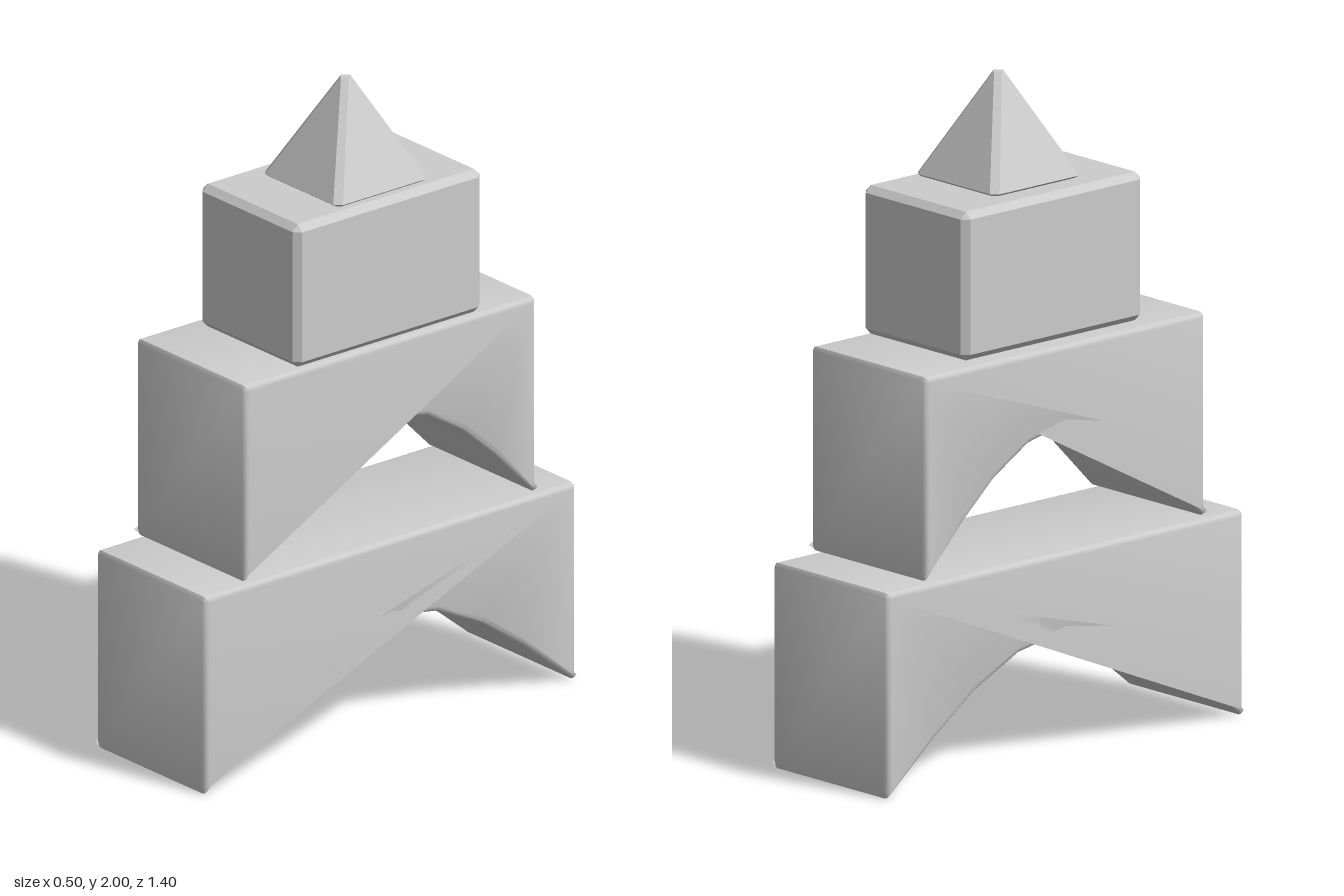
import * as THREE from 'three';
import { toCreasedNormals } from 'three/addons/utils/BufferGeometryUtils.js';
import { ConvexGeometry } from 'three/addons/geometries/ConvexGeometry.js';

const grey = new THREE.MeshStandardMaterial({ color: 0xcccccc });

// Arched block: rounded slab with a curved underside, spanning z
function archBlock(name, halfSpan, y0, height, rise) {
  // Right half of the underside, as fractions of span and rise
  const curve = [[0.985, 0.005], [0.72, 0.41], [0.5, 0.7], [0.255, 0.92]];
  const h = halfSpan, r = 0.012, bevel = 0.018, width = 0.495;
  const right = [[h - 0.008, height], [h, height - r], [h, 0.02], [h - 0.006, 0],
    ...curve.map(([u, v]) => [u * h, v * rise])];
  const left = right.map(([z, y]) => [-z, y]).reverse();
  const outline = [...right, [0, rise], ...left].map(([z, y]) => new THREE.Vector2(z, y));
  const geo = new THREE.ExtrudeGeometry(new THREE.Shape(outline), {
    depth: width - 2 * bevel, bevelEnabled: true, bevelThickness: bevel,
    bevelSize: bevel, bevelOffset: -bevel, bevelSegments: 3,
  });
  geo.translate(0, y0, -(width - 2 * bevel) / 2).rotateY(-Math.PI / 2);
  const mesh = new THREE.Mesh(toCreasedNormals(geo, 0.65), grey);
  mesh.name = name;
  return mesh;
}

// Rectangle ring with cut corners at height y
function ring(hx, hz, cut, y) {
  const pts = [];
  for (const sx of [-1, 1]) for (const sz of [-1, 1]) {
    pts.push(new THREE.Vector3(sx * hx, y, sz * (hz - cut)));
    if (cut > 0) pts.push(new THREE.Vector3(sx * (hx - cut), y, sz * hz));
  }
  return pts;
}

// Flat-faced solid through a stack of rings
function chamferedSolid(name, x, rings) {
  const mesh = new THREE.Mesh(new ConvexGeometry(rings.flatMap((r) => ring(...r))), grey);
  mesh.position.x = x;
  mesh.name = name;
  return mesh;
}

export function createModel() {
  const group = new THREE.Group();
  group.name = 'blockTower';
  group.add(archBlock('lowerArch', 0.7, 0, 0.615, 0.375));
  group.add(archBlock('upperArch', 0.55, 0.625, 0.61, 0.37));

  // Chamfered box above the arches
  group.add(chamferedSolid('boxBlock', 0.022, [
    [0.203, 0.332, 0, 1.237], [0.223, 0.352, 0.02, 1.257],
    [0.223, 0.352, 0.02, 1.662], [0.203, 0.332, 0, 1.682],
  ]));

  // Pyramid with bevelled ridges on top
  group.add(chamferedSolid('pyramidRoof', 0.042, [
    [0.163, 0.163, 0.012, 1.684], [0.174, 0.174, 0.02, 1.692],
    [0.018, 0.018, 0.016, 2],
  ]));
  return group;
}
